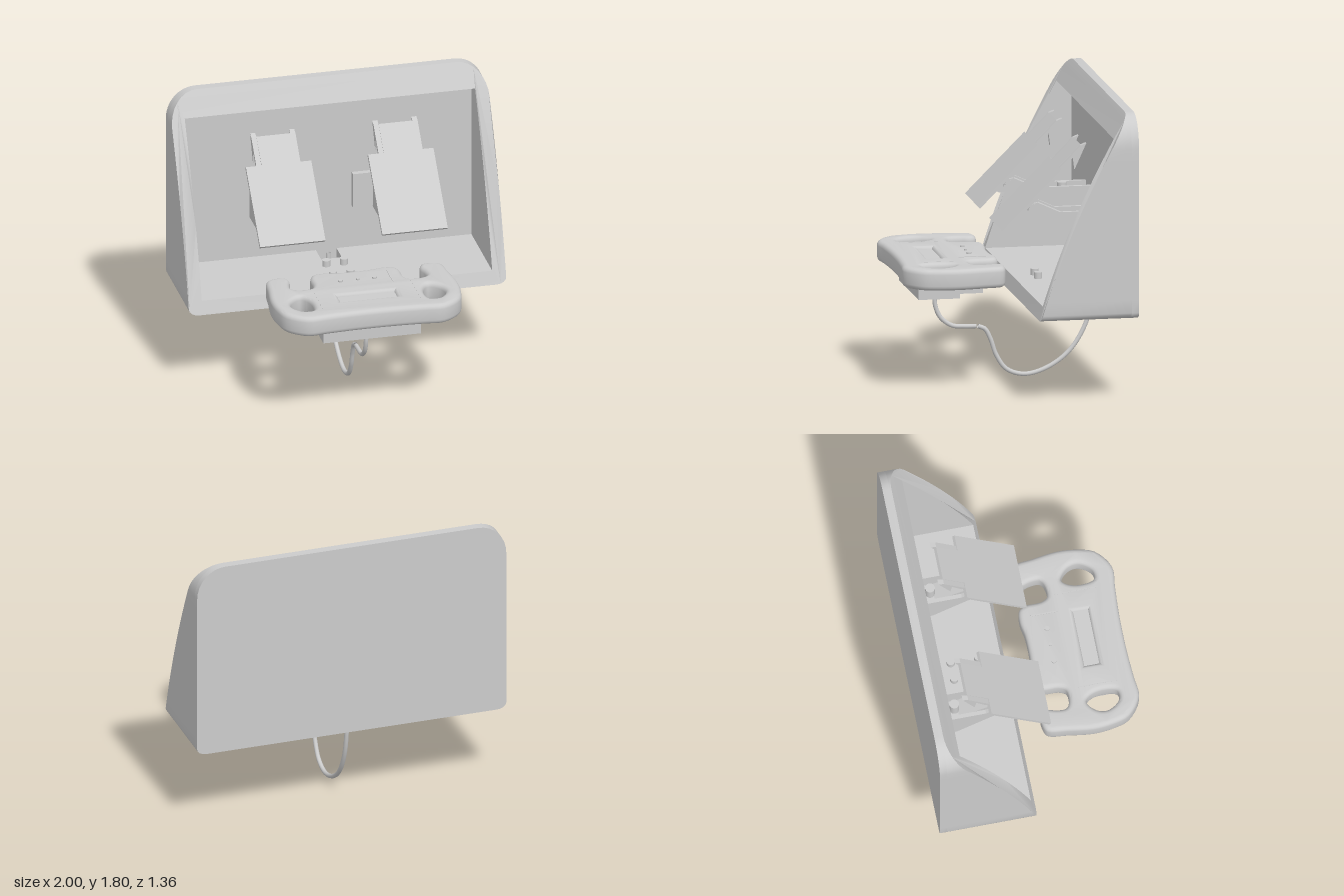
import * as THREE from 'three';
import { toCreasedNormals } from 'three/addons/utils/BufferGeometryUtils.js';

const mat = new THREE.MeshStandardMaterial({ color: 0xcccccc, side: THREE.DoubleSide });
const v2 = ([x, y]) => new THREE.Vector2(x, y);

function add(parent, name, geo, x = 0, y = 0, z = 0) {
  const mesh = new THREE.Mesh(geo, mat);
  mesh.name = name;
  mesh.position.set(x, y, z);
  parent.add(mesh);
  return mesh;
}

// Box given by its limits
function box(parent, name, x0, x1, y0, y1, z0, z1) {
  return add(parent, name, new THREE.BoxGeometry(x1 - x0, y1 - y0, z1 - z0),
    (x0 + x1) / 2, (y0 + y1) / 2, (z0 + z1) / 2);
}

// Extrudes a side profile of [z, y] points along x, centred on x
function sidePart(parent, name, pts, x, width) {
  const geo = new THREE.ExtrudeGeometry(new THREE.Shape(pts.map(v2)), { depth: width, bevelEnabled: false });
  geo.translate(0, 0, -width / 2).rotateY(-Math.PI / 2);
  return add(parent, name, geo, x);
}

// Sloping, slightly hollow front of the housing
function frontZ(y) {
  const t = (y - 0.535) / 1.265;
  return -0.07 - 0.367 * t - 0.188 * t * t;
}

function line(a, b, n) {
  return Array.from({ length: n + 1 }, (_, i) => [a[0] + (b[0] - a[0]) * i / n, a[1] + (b[1] - a[1]) * i / n]);
}

function arc(cx, cy, rx, ry, from, n) {
  return Array.from({ length: n + 1 }, (_, i) => {
    const a = from + i / n * Math.PI / 2;
    return [cx + rx * Math.cos(a), cy + ry * Math.sin(a)];
  });
}

// Flat extrusion whose near side follows the sloping front
function slopedPart(parent, name, pts, backZ) {
  const geo = new THREE.ExtrudeGeometry(new THREE.Shape(pts.map(v2)), { depth: 1, bevelEnabled: false });
  const p = geo.attributes.position;
  for (let i = 0; i < p.count; i++) p.setZ(i, p.getZ(i) > 0.5 ? frontZ(p.getY(i)) : backZ);
  return add(parent, name, toCreasedNormals(geo, 0.6));
}

function buildHousing() {
  const g = new THREE.Group();
  g.name = 'housing';
  const right = [
    ...arc(0.94, 0.575, 0.06, 0.04, -Math.PI / 2, 4),
    ...line([1, 0.575], [1, 1.6], 12).slice(1, -1),
    ...arc(0.82, 1.6, 0.18, 0.2, 0, 8),
  ];
  const outline = [...right, ...right.map(([x, y]) => [-x, y]).reverse()];

  // Back plate
  const back = new THREE.ExtrudeGeometry(new THREE.Shape(outline.map(v2)), { depth: 0.045, bevelEnabled: false });
  add(g, 'backPlate', toCreasedNormals(back, 0.6), 0, 0, -0.68);

  // Walls, with a gap in the floor where the cable passes
  const inner = line([0.915, 0.62], [0.915, 1.65], 12);
  slopedPart(g, 'walls', [
    [0.065, 0.535], ...outline, [-0.065, 0.535], [-0.065, 0.62],
    ...inner.map(([x, y]) => [-x, y]), ...inner.slice().reverse(), [0.065, 0.62],
  ], -0.635);
  slopedPart(g, 'floorFiller', [[-0.065, 0.535], [0.065, 0.535], [0.065, 0.62], [-0.065, 0.62]], -0.5);

  // Floor studs
  for (const x of [-0.055, 0.055]) for (const z of [-0.405, -0.235])
    add(g, 'floorStud', new THREE.CylinderGeometry(0.025, 0.025, 0.04, 16), x, 0.64, z);
  return g;
}

function buildPedal(x) {
  const g = new THREE.Group();
  g.name = 'pedal';
  g.position.x = x;

  // T-shaped foot plate, leaning back
  const plate = [[-0.206, 0], [0.206, 0], [0.206, 0.525], [0.107, 0.525], [0.107, 0.715],
    [-0.107, 0.715], [-0.107, 0.525], [-0.206, 0.525]];
  add(g, 'footPlate', new THREE.ExtrudeGeometry(new THREE.Shape(plate.map(v2)), { depth: 0.02, bevelEnabled: false }),
    0, 1.02, 0.08).rotation.x = -Math.PI / 4;

  for (const s of [-1, 1]) {
    // Top ears and hinge lugs
    sidePart(g, 'plateEar', [[-0.445, 1.55], [-0.41, 1.535], [-0.275, 1.395], [-0.3, 1.385], [-0.36, 1.46],
      [-0.37, 1.385], [-0.4, 1.45]], s * 0.123, 0.032);
    sidePart(g, 'hingeLug', [[-0.02, 1.12], [-0.06, 1.09], [-0.11, 1.09], [-0.157, 1.13], [-0.157, 1.217],
      [-0.14, 1.24]], s * 0.065, 0.02);
    // Bracket cheeks reaching to the back wall
    sidePart(g, 'bracketCheek', [[-0.635, 0.89], [-0.47, 0.89], [-0.257, 1.04], [-0.15, 1.1], [-0.09, 1.13],
      [-0.1, 1.17], [-0.15, 1.18], [-0.29, 1.115], [-0.44, 1.115], [-0.635, 1.115]], s * 0.083, 0.025);
  }
  sidePart(g, 'arm', [[-0.635, 0.96], [-0.45, 0.96], [-0.15, 1.1], [-0.15, 1.17], [-0.45, 1.03], [-0.635, 1.03]], 0, 0.11);
  box(g, 'mountFoot', -0.095, 0.095, 0.89, 0.96, -0.635, -0.545);
  const pin = new THREE.CylinderGeometry(0.02, 0.02, 0.2, 16).rotateZ(Math.PI / 2);
  add(g, 'hingePin', pin, 0, 1.15, -0.12);
  const spring = new THREE.CylinderGeometry(0.03, 0.03, 0.13, 16);
  add(g, 'returnSpring', spring, 0, 1.06, -0.47);
  return g;
}

const spline = (pts, n) => new THREE.CatmullRomCurve3(pts.map(([x, y]) => new THREE.Vector3(x, y, 0)), true)
  .getPoints(n).slice(0, -1).map((p) => new THREE.Vector2(p.x, p.y));

function buildWheel() {
  const g = new THREE.Group();
  g.name = 'steeringWheel';

  // Half outline in [x, z], from the middle of the back edge to the middle of the near edge
  const half = [[0.09, 0.065], [0.18, 0.05], [0.255, 0.06], [0.28, 0.1], [0.285, 0.2], [0.31, 0.245], [0.39, 0.245],
    [0.425, 0.22], [0.425, 0.16], [0.41, 0.1], [0.43, 0.06], [0.5, 0.055], [0.55, 0.08], [0.57, 0.2], [0.59, 0.36],
    [0.58, 0.48], [0.545, 0.59], [0.43, 0.675], [0.3, 0.668], [0.12, 0.658]];
  const mirror = (pts) => pts.map(([x, z]) => [-x, z]).reverse();
  const shape = new THREE.Shape(spline([...half, ...mirror(half)], 160));

  // Grip holes and display recess
  const grip = [[0.405, 0.35], [0.47, 0.4], [0.485, 0.47], [0.43, 0.55], [0.37, 0.55], [0.35, 0.46], [0.37, 0.38]];
  for (const h of [grip, mirror(grip)]) shape.holes.push(new THREE.Path(spline(h, 36)));
  shape.holes.push(new THREE.Path([[-0.175, 0.385], [0.18, 0.385], [0.18, 0.475], [-0.175, 0.475]].map(v2)));

  const geo = new THREE.ExtrudeGeometry(shape, {
    depth: 0.07, bevelThickness: 0.03, bevelSize: 0.03, bevelOffset: -0.03, bevelSegments: 4,
  });
  geo.rotateX(Math.PI / 2);
  add(g, 'rim', toCreasedNormals(geo, 0.7), 0, 0.77, 0);
  box(g, 'display', -0.2, 0.205, 0.68, 0.78, 0.36, 0.5);

  // Top buttons and seams
  for (const [x, r] of [[-0.115, 0.015], [-0.005, 0.01], [0.1, 0.015]])
    add(g, 'button', new THREE.CylinderGeometry(r, r, 0.02, 16), x, 0.8, 0.205);
  box(g, 'slider', 0.196, 0.204, 0.79, 0.803, 0.12, 0.29);
  for (const x of [-0.31, 0.31]) box(g, 'seam', x - 0.002, x + 0.002, 0.79, 0.801, 0.29, 0.56);

  // Stepped case underneath
  box(g, 'lowerCase', -0.308, 0.308, 0.565, 0.68, 0.3, 0.56);
  box(g, 'rearCase', -0.17, 0.17, 0.565, 0.68, 0.13, 0.3);
  return g;
}

function cable(parent, name, pts) {
  const curve = new THREE.CatmullRomCurve3(pts.map(([z, y]) => new THREE.Vector3(0, y, z)));
  add(parent, name, new THREE.TubeGeometry(curve, 60, 0.014, 12));
}

export function createModel() {
  const model = new THREE.Group();
  model.name = 'racingControls';
  model.add(buildHousing(), buildPedal(-0.387), buildPedal(0.383), buildWheel());

  // Wall plate behind one pedal
  box(model, 'wallPlate', 0.16, 0.605, 0.9, 1.125, -0.635, -0.6);
  box(model, 'wallPlateTab', 0.49, 0.56, 0.91, 0.945, -0.6, -0.54);

  // Cable in two lengths
  cable(model, 'longCable', [[-0.585, 0.62], [-0.582, 0.48], [-0.54, 0.31], [-0.44, 0.15], [-0.3, 0.05], [-0.16, 0.015],
    [-0.05, 0.05], [0.015, 0.14], [0.05, 0.24], [0.085, 0.305], [0.13, 0.325]]);
  cable(model, 'shortCable', [[0.14, 0.325], [0.22, 0.327], [0.29, 0.335], [0.36, 0.385], [0.395, 0.46], [0.402, 0.57]]);
  return model;
}
